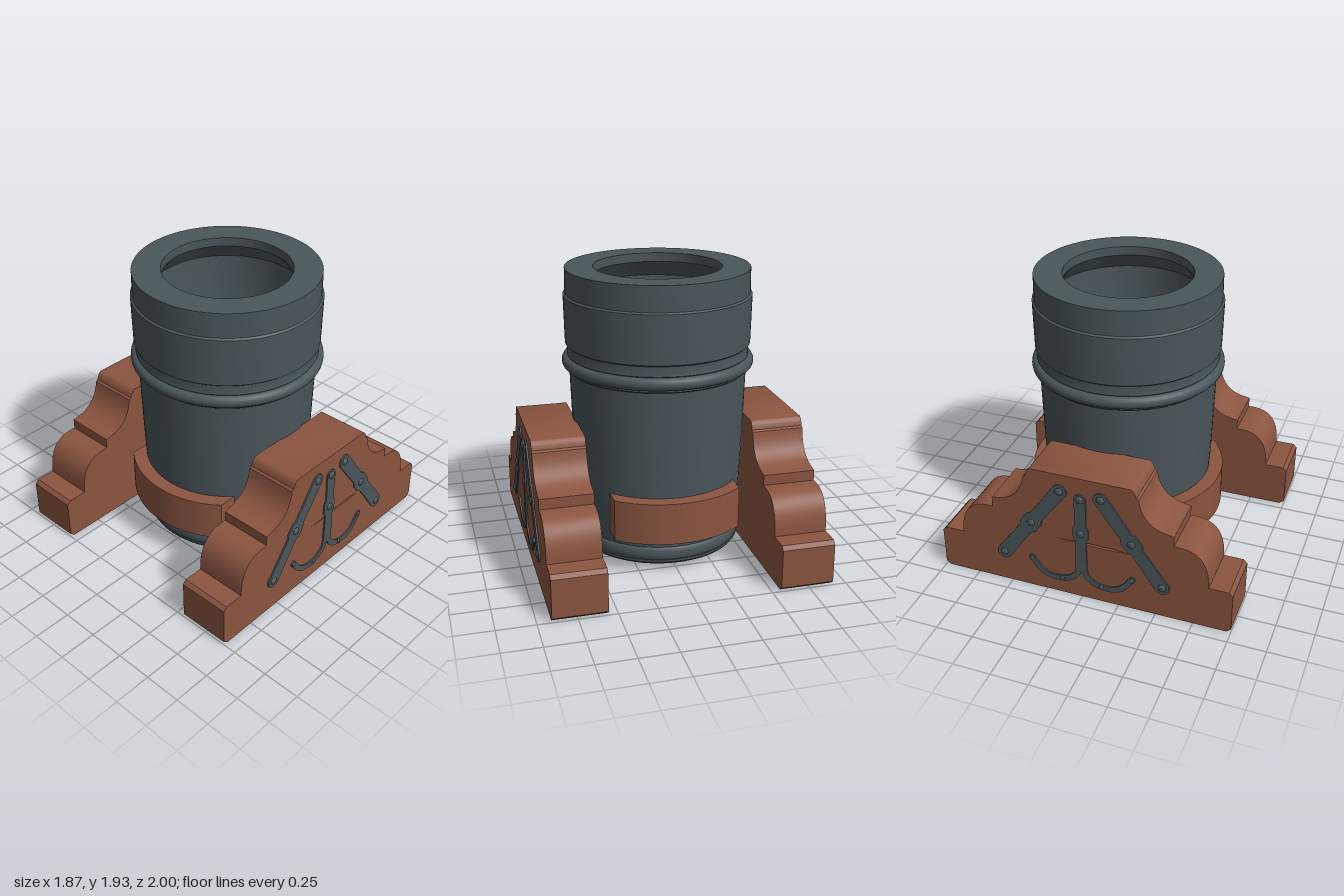
import * as THREE from 'three';
import { toCreasedNormals } from 'three/addons/utils/BufferGeometryUtils.js';

const iron = new THREE.MeshStandardMaterial({ color: 0x4a565b });
const wood = new THREE.MeshStandardMaterial({ color: 0x8b5540 });
const V = (x, y) => new THREE.Vector2(x, y);

function add(parent, name, geometry, material) {
  const mesh = new THREE.Mesh(toCreasedNormals(geometry, 0.55), material);
  mesh.name = name;
  parent.add(mesh);
  return mesh;
}

// Extrude a side-on outline (-z, y) from x0 to x1
function sideExtrude(shape, x0, x1, bevel = 0) {
  const g = new THREE.ExtrudeGeometry(shape, {
    depth: x1 - x0 - bevel, curveSegments: 12, bevelEnabled: bevel > 0,
    bevelSize: bevel, bevelThickness: bevel, bevelOffset: -bevel, bevelSegments: 1,
  });
  return g.rotateY(Math.PI / 2).translate(x0, 0, 0);
}

// Half-round moulding bulging out from radius r
function moulding(r, y, out, half) {
  return Array.from({ length: 11 }, (_, i) => {
    const a = -Math.PI / 2 + (Math.PI * i) / 10;
    return V(r + out * Math.cos(a), y + half * Math.sin(a));
  });
}

function barrelGeometry() {
  const profile = [
    V(0, 0.055), V(0.54, 0.055), V(0.552, 0.07), V(0.552, 0.085),
    ...moulding(0.545, 0.13, 0.017, 0.045),
    V(0.547, 0.19), V(0.57, 0.65), V(0.588, 1.25), V(0.6, 1.26),
    ...moulding(0.598, 1.312, 0.038, 0.042),
    V(0.602, 1.36), V(0.598, 1.375), V(0.6, 1.425), V(0.612, 1.435),
    V(0.619, 1.755), V(0.606, 1.765), V(0.605, 1.93),
    // muzzle lip and the wider bore behind it
    V(0.42, 1.93), V(0.42, 1.87), V(0.5, 1.76), V(0.48, 0.5), V(0.4, 0.36), V(0, 0.3),
  ];
  return new THREE.LatheGeometry(profile, 72);
}

// Curved block hugging the barrel, cut straight at x = +-0.42
function saddleGeometry() {
  const outer = Math.acos(0.42 / 0.656), inner = Math.acos(0.42 / 0.535);
  const shape = new THREE.Shape();
  shape.absarc(0, 0, 0.656, outer, Math.PI - outer, false);
  shape.absarc(0, 0, 0.535, Math.PI - inner, inner, true);
  shape.closePath();
  return new THREE.ExtrudeGeometry(shape, { depth: 0.28, bevelEnabled: false, curveSegments: 20 })
    .rotateX(-Math.PI / 2).translate(0, 0.25, 0);
}

// Stepped cheek outline; the half outline is sampled, then mirrored
function cheekShape() {
  const half = new THREE.Path();
  half.moveTo(0.97, 0);
  half.lineTo(1, 0.025);
  half.lineTo(1, 0.285);
  half.lineTo(0.975, 0.31);
  half.lineTo(0.845, 0.31);
  half.bezierCurveTo(0.845, 0.47, 0.79, 0.565, 0.66, 0.57);
  half.lineTo(0.615, 0.57);
  half.lineTo(0.615, 0.64);
  half.lineTo(0.59, 0.645);
  half.bezierCurveTo(0.46, 0.66, 0.4, 0.74, 0.385, 0.855);
  half.lineTo(0.37, 0.865);
  half.quadraticCurveTo(0.36, 0.91, 0.335, 0.922);
  const pts = half.getPoints(10);
  return new THREE.Shape([...pts, ...pts.map((p) => V(-p.x, p.y)).reverse()]);
}

// Flat strap with round ends and a swelling around its middle
function strapShape(a, b, w) {
  const d = b.clone().sub(a), len = d.length(), ang = d.angle();
  const pts = [];
  const arc = (cx, from) => {
    for (let i = 0; i <= 8; i++) {
      const t = from + (Math.PI * i) / 8;
      pts.push(V(cx + w * Math.cos(t), w * Math.sin(t)));
    }
  };
  const bulge = (s) => [-0.065, -0.035, 0.035, 0.065].forEach((u, i) =>
    pts.push(V(len / 2 - s * u, s * (i % 3 ? w + 0.012 : w * 0.9))));
  arc(len, -Math.PI / 2);
  bulge(1);
  arc(0, Math.PI / 2);
  bulge(-1);
  return new THREE.Shape(pts.map((p) => p.rotateAround(V(0, 0), ang).add(a)));
}

// Ribbon of constant width following a curve
function ribbonShape(points, w) {
  const curve = new THREE.SplineCurve(points);
  const left = [], right = [];
  for (let i = 0; i <= 24; i++) {
    const p = curve.getPoint(i / 24), t = curve.getTangent(i / 24);
    left.push(V(p.x - t.y * w, p.y + t.x * w));
    right.push(V(p.x + t.y * w, p.y - t.x * w));
  }
  return new THREE.Shape([...right, ...left.reverse()]);
}

function createCarriageSide() {
  const side = new THREE.Group();

  // Solid cheek plus a thin outer layer carrying the long split in the grain
  add(side, 'cheekCore', sideExtrude(cheekShape(), 0.56, 0.885), wood);
  const face = cheekShape();
  face.holes.push(new THREE.Path([
    V(-0.18, 0.434), V(0, 0.428), V(0.2, 0.426), V(0.32, 0.433),
    V(0.22, 0.442), V(0.05, 0.443), V(-0.08, 0.437),
  ]));
  add(side, 'cheekFace', sideExtrude(face, 0.885, 0.91), wood);

  // Straps and anchor-shaped centre iron
  const x0 = 0.905, x1 = 0.92;
  const rivets = [[0, 0.77], [0, 0.51]];
  for (const s of [-1, 1]) {
    add(side, 'diagonalStrap', sideExtrude(strapShape(V(s * 0.138, 0.8), V(s * 0.545, 0.23), 0.05), x0, x1), iron);
    add(side, 'hook', sideExtrude(ribbonShape([
      V(s * 0.015, 0.27), V(s * 0.03, 0.19), V(s * 0.09, 0.135), V(s * 0.18, 0.118),
      V(s * 0.27, 0.145), V(s * 0.345, 0.235),
    ], 0.02), x0, x1), iron);
    const tip = new THREE.Shape();
    tip.absarc(s * 0.345, 0.235, 0.022, 0, Math.PI * 2);
    add(side, 'hookTip', sideExtrude(tip, x0, x1), iron);
    rivets.push([s * 0.138, 0.8], [s * 0.34, 0.515], [s * 0.545, 0.23],
      [s * 0.345, 0.232, 0.017], [s * 0.135, 0.123, 0.017]);
  }
  add(side, 'centreStrap', sideExtrude(strapShape(V(0, 0.77), V(0, 0.25), 0.04), x0, x1), iron);

  // Domed rivets
  for (const [z, y, r = 0.027] of rivets) {
    const dome = new THREE.SphereGeometry(r, 14, 6, 0, Math.PI * 2, 0, Math.PI / 2)
      .scale(1, 0.5, 1).rotateZ(-Math.PI / 2).translate(x1 - 0.001, y, z);
    add(side, 'rivet', dome, iron);
  }
  return side;
}

export function createModel() {
  const model = new THREE.Group();
  model.name = 'mortar';

  const barrel = add(model, 'barrel', barrelGeometry(), iron);
  barrel.position.set(-0.005, 0, -0.013);

  // Wooden saddle blocks in front of and behind the barrel
  for (const [name, turn] of [['rearSaddle', 0], ['frontSaddle', Math.PI]]) {
    const saddle = add(model, name, saddleGeometry(), wood);
    saddle.rotation.y = turn;
    saddle.position.set(-0.008, 0, -0.013);
  }

  // Carriage sides
  for (const [name, turn] of [['leftCarriageSide', 0], ['rightCarriageSide', Math.PI]]) {
    const side = createCarriageSide();
    side.name = name;
    side.rotation.y = turn;
    model.add(side);
  }
  return model;
}
